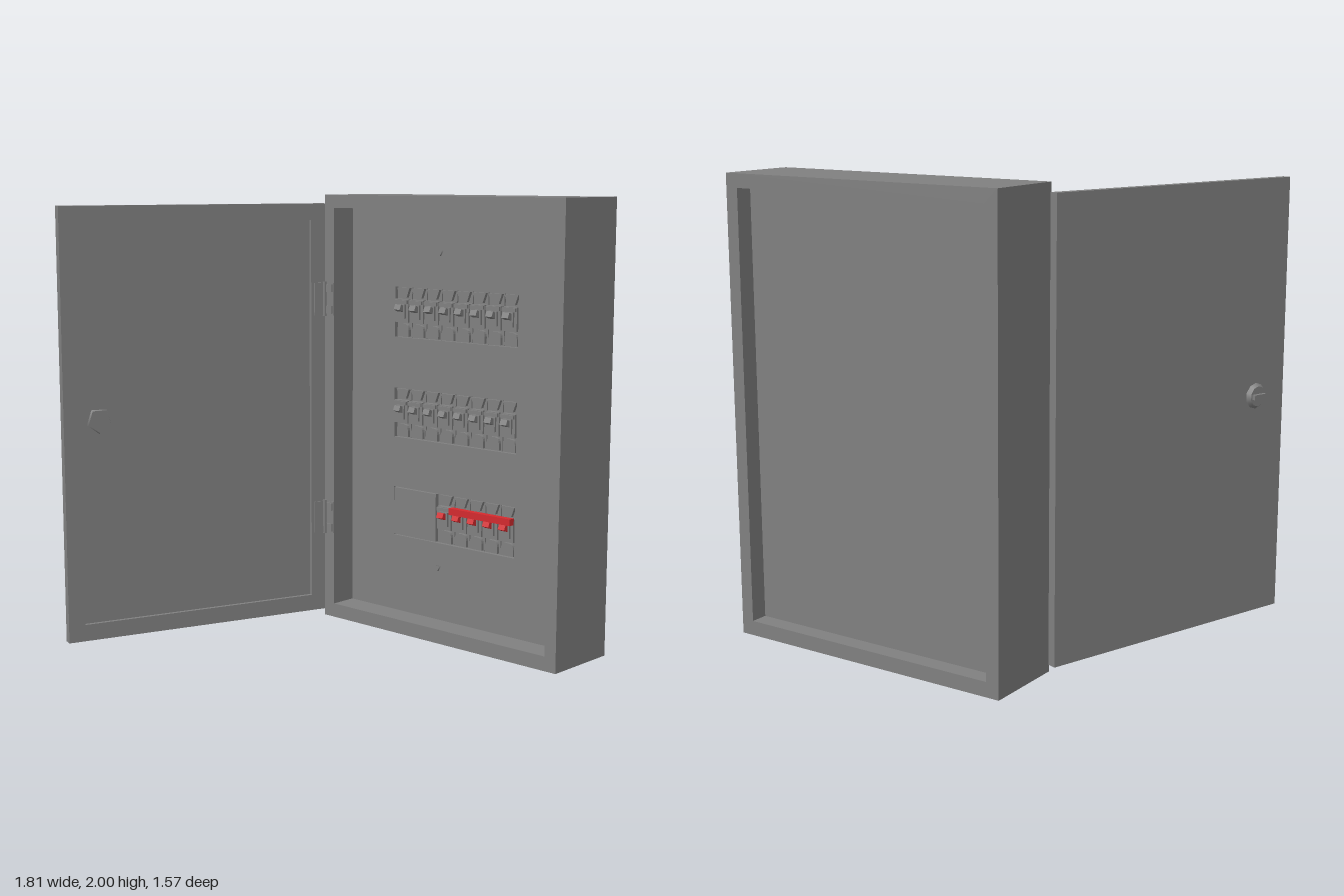
import * as THREE from 'three';

const steel = new THREE.MeshStandardMaterial({ color: 0x808080 });
steel.name = 'greySteel';
const red = new THREE.MeshStandardMaterial({ color: 0xd42a2e });
red.name = 'redPlastic';

function add(parent, name, geometry, x = 0, y = 0, z = 0, material = steel) {
  const mesh = new THREE.Mesh(geometry, material);
  mesh.name = name;
  mesh.position.set(x, y, z);
  parent.add(mesh);
  return mesh;
}

const box = (w, h, d) => new THREE.BoxGeometry(w, h, d);

function rectPath(target, x0, y0, x1, y1) {
  target.moveTo(x0, y0);
  target.lineTo(x1, y0);
  target.lineTo(x1, y1);
  target.lineTo(x0, y1);
  target.closePath();
  return target;
}

// Rectangular plate with rectangular holes, extruded towards +z
function plate(outer, holes, depth) {
  const shape = rectPath(new THREE.Shape(), ...outer);
  for (const h of holes) shape.holes.push(rectPath(new THREE.Path(), ...h));
  return new THREE.ExtrudeGeometry(shape, { depth, bevelEnabled: false });
}

function polygon(points, depth) {
  const shape = new THREE.Shape(points.map(([x, y]) => new THREE.Vector2(x, y)));
  return new THREE.ExtrudeGeometry(shape, { depth, bevelEnabled: false });
}

const PANEL_Z = -0.55;   // front of the inner panel
const LEFT = -0.125;     // left edge of the breaker windows
const PITCH = 0.088;     // width of one breaker
const ROWS = [1.355, 0.89, 0.425];
const ROW_H = 0.23;

// One circuit breaker, origin at its lower middle on the panel plane
function breaker(toggleMaterial) {
  const g = new THREE.Group();
  g.name = 'breaker';
  add(g, 'breakerBody', box(PITCH - 0.006, ROW_H, 0.03), 0, ROW_H / 2, -0.035);
  add(g, 'breakerNose', box(PITCH - 0.008, 0.105, 0.028), 0, 0.122, -0.008);

  // arched lower terminal cover
  const arch = new THREE.Shape();
  arch.moveTo(-0.034, 0.004);
  arch.lineTo(0.034, 0.004);
  arch.lineTo(0.034, 0.035);
  arch.quadraticCurveTo(0.032, 0.06, 0.012, 0.062);
  arch.lineTo(-0.012, 0.062);
  arch.quadraticCurveTo(-0.032, 0.06, -0.034, 0.035);
  add(g, 'lowerTerminal', new THREE.ExtrudeGeometry(arch,
    { depth: 0.015, bevelEnabled: false, curveSegments: 4 }), 0, 0, -0.02);

  // tapered upper terminal cover
  add(g, 'upperTerminal', polygon(
    [[-0.02, 0.182], [0.02, 0.182], [0.037, 0.226], [-0.037, 0.226]], 0.015), 0, 0, -0.02);

  // rocker, its rail and tilted lever
  add(g, 'rockerFrame', box(0.052, 0.065, 0.012), 0, 0.12, 0.01);
  add(g, 'rockerRail', box(0.074, 0.016, 0.01), 0, 0.163, 0.01);
  const lever = add(g, 'toggle', box(0.036, 0.026, 0.03), 0, 0.135, 0.022, toggleMaterial);
  lever.rotation.x = -0.4;
  return g;
}

function cabinet() {
  const g = new THREE.Group();
  g.name = 'cabinet';
  const opening = [-0.39, 0.065, 0.845, 1.94];

  // casing, open at front and back
  add(g, 'casing', plate([-0.45, 0, 0.904, 2], [opening], 0.366), 0, 0, -0.788);
  add(g, 'backPanel', box(1.235, 1.875, 0.01), 0.2275, 1.0025, -0.705);

  // inner panel with breaker windows
  const windows = ROWS.map(y => [LEFT, y, LEFT + 8 * PITCH, y + ROW_H]);
  add(g, 'innerPanel', plate(opening, windows, 0.02), 0, 0, PANEL_Z - 0.02);
  ROWS.forEach((y) => add(g, 'mountingRail', box(8 * PITCH + 0.02, ROW_H + 0.02, 0.01),
    LEFT + 4 * PITCH, y + ROW_H / 2, PANEL_Z - 0.06));

  // breakers, with a blank cover at the start of the lowest row
  ROWS.forEach((y, row) => {
    for (let i = row === 2 ? 3 : 0; i < 8; i++) {
      const b = breaker(row === 2 ? red : steel);
      b.position.set(LEFT + PITCH * (i + 0.5), y, PANEL_Z);
      g.add(b);
    }
  });
  add(g, 'blankCover', box(0.252, ROW_H - 0.008, 0.02), 0.004, ROWS[2] + ROW_H / 2, PANEL_Z - 0.008);
  add(g, 'redBusbar', box(0.345, 0.03, 0.03), 0.405, 0.591, PANEL_Z + 0.02, red);

  // three-sided panel locks
  for (const [x, y] of [[0.145, 1.75], [0.15, 0.312]]) {
    const lock = add(g, 'panelLock', new THREE.CylinderGeometry(0.016, 0.016, 0.012, 3), x, y, PANEL_Z + 0.004);
    lock.rotation.x = Math.PI / 2;
  }
  return g;
}

function hinge(y) {
  const g = new THREE.Group();
  g.name = 'hinge';
  add(g, 'hingeLeaf', box(0.028, 0.15, 0.006), -0.404, 0, -0.421);
  for (const s of [-1, 1]) add(g, 'hingeArm', box(0.05, 0.035, 0.01), -0.423, s * 0.05, -0.419);
  add(g, 'hingePin', new THREE.CylinderGeometry(0.009, 0.009, 0.16, 8), -0.442, 0, -0.412);
  const leaf = add(g, 'doorLeaf', box(0.05, 0.15, 0.006), -0.453, 0, -0.388);
  leaf.rotation.y = -1.903;
  g.position.y = y;
  return g;
}

// Door in its own frame: x runs from hinge to free edge, +z is the outside
function door() {
  const g = new THREE.Group();
  g.name = 'door';
  const L = 1.282, B = 0.03, T = 1.96;
  add(g, 'doorSkin', box(L, T - B, 0.022), L / 2, (T + B) / 2, 0.009);
  add(g, 'doorRim', plate([0, B, L, T], [[0.075, 0.105, L - 0.075, 1.885]], 0.018), 0, 0, -0.02);

  // lock: outer knob with key bar, inner cap
  const x = 1.114, y = 1.02;
  const turn = (mesh) => { mesh.rotation.x = Math.PI / 2; };
  turn(add(g, 'knobBase', new THREE.CylinderGeometry(0.045, 0.058, 0.018, 10), x, y, 0.028));
  add(g, 'knobGrip', box(0.07, 0.022, 0.022), x, y, 0.042);
  turn(add(g, 'lockCap', new THREE.CylinderGeometry(0.06, 0.055, 0.012, 5), x, y, -0.007));

  g.position.set(-0.468, 0, -0.433);
  g.rotation.y = -1.903;
  return g;
}

export function createModel() {
  const model = new THREE.Group();
  model.name = 'breakerCabinet';
  model.add(cabinet(), door(), hinge(1.52), hinge(0.485));
  return model;
}
